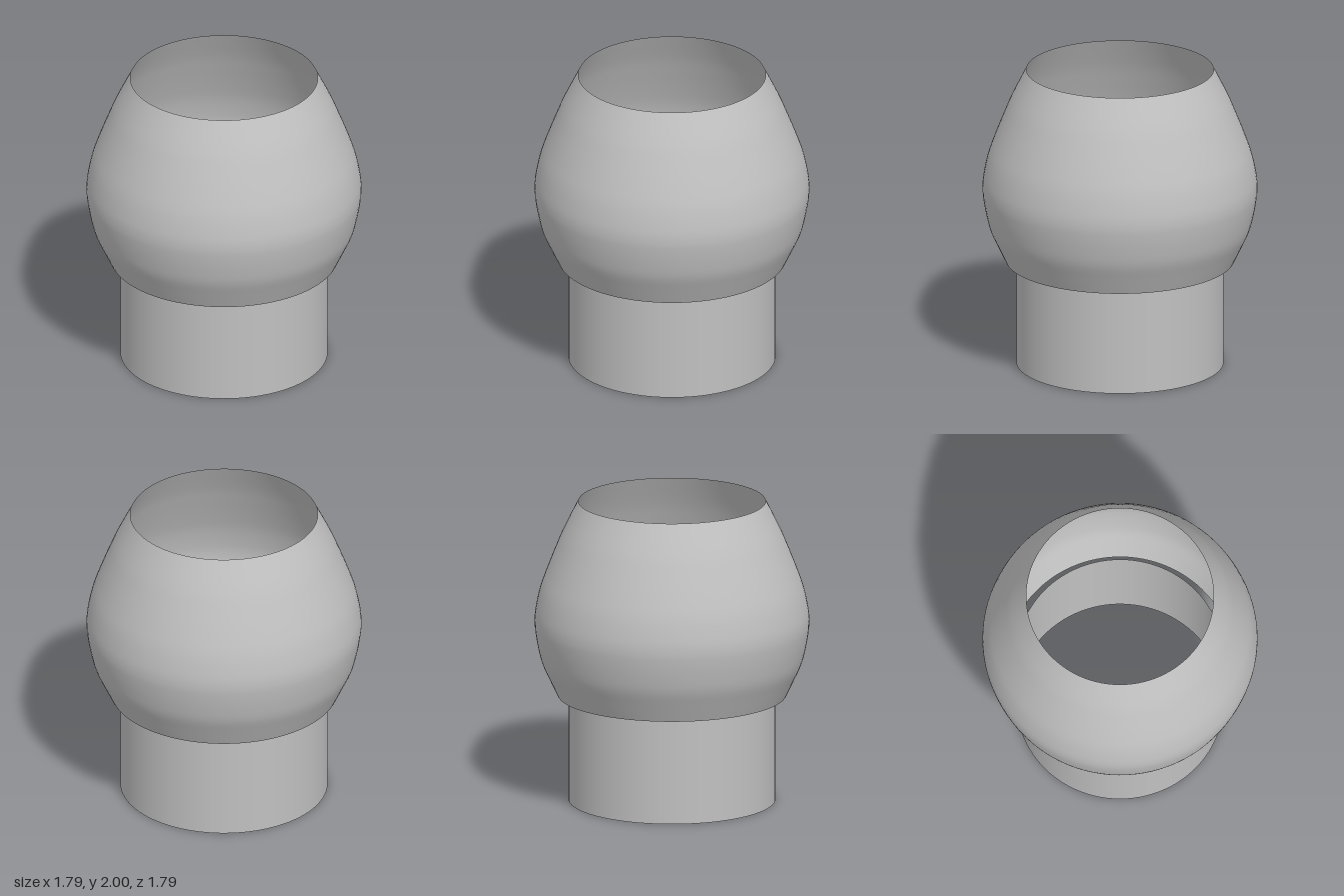
import * as THREE from 'three';

export function createModel() {
  const group = new THREE.Group();
  const grey = new THREE.MeshStandardMaterial({ color: 0xc0c0c0, side: THREE.DoubleSide });
  grey.name = 'light grey';

  // Open bulbous shade: a thin surface of revolution, widest at y = 1.2
  const profile = new THREE.SplineCurve([
    [0.745, 0.705], [0.795, 0.81], [0.845, 0.92], [0.873, 1.03], [0.89, 1.13],
    [0.895, 1.2], [0.888, 1.28], [0.86, 1.41], [0.815, 1.54], [0.76, 1.68],
    [0.705, 1.81], [0.61, 2],
  ].map(([r, y]) => new THREE.Vector2(r, y)));
  const shade = new THREE.Mesh(new THREE.LatheGeometry(profile.getPoints(44), 96), grey);
  shade.name = 'shade';
  group.add(shade);

  // Open straight collar, reaching a little way up inside the shade
  const collarHeight = 0.85;
  const collar = new THREE.Mesh(
    new THREE.CylinderGeometry(0.675, 0.675, collarHeight, 96, 1, true), grey);
  collar.name = 'collar';
  collar.position.y = collarHeight / 2;
  group.add(collar);

  return group;
}
